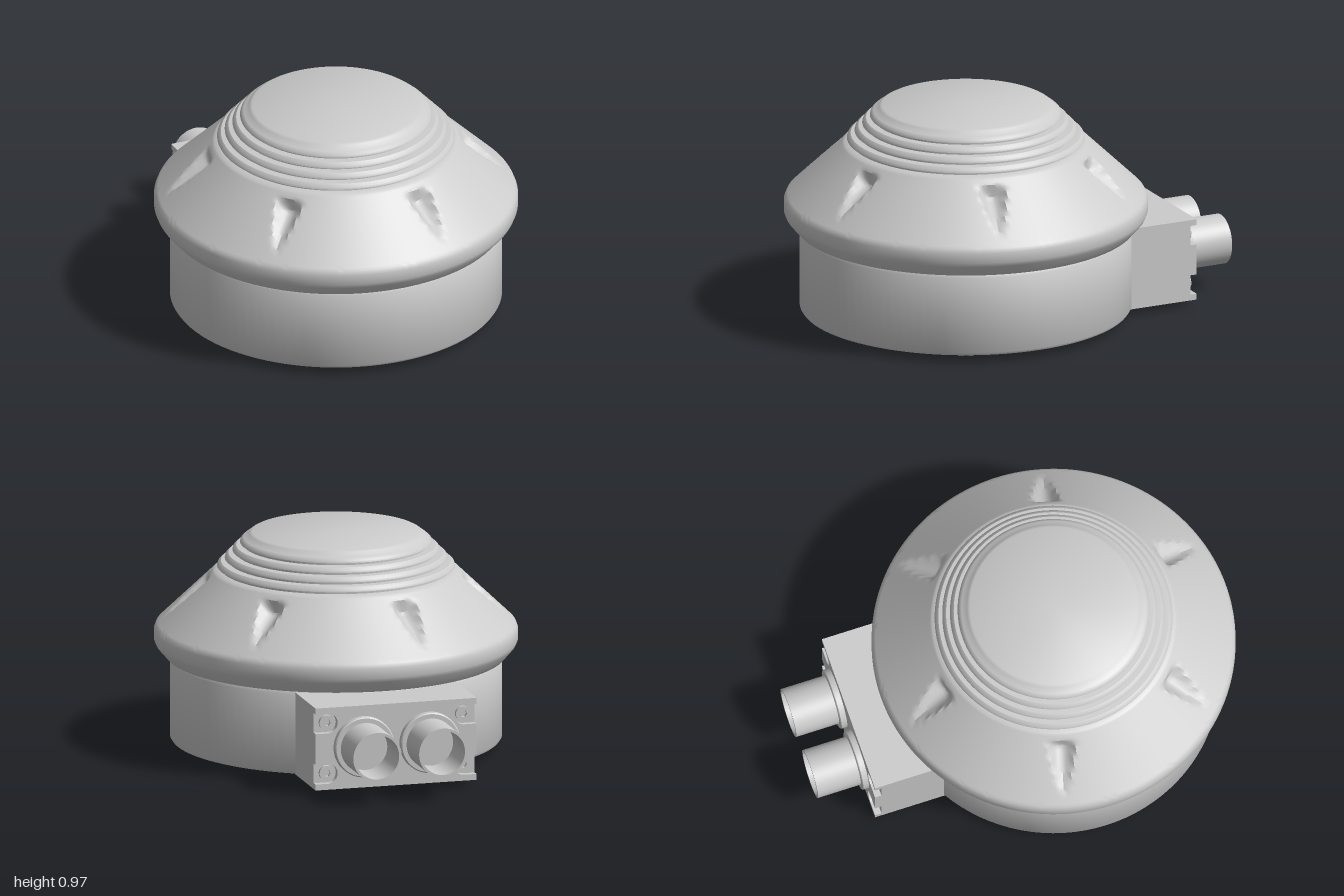
import * as THREE from 'three';
import { toCreasedNormals } from 'three/addons/utils/BufferGeometryUtils.js';

const TAU = Math.PI * 2;
const material = new THREE.MeshStandardMaterial({ color: 0xcccccc, side: THREE.DoubleSide });

function part(name, geometry, x = 0, y = 0, z = 0, crease = 0.6) {
  const mesh = new THREE.Mesh(toCreasedNormals(geometry, crease), material);
  mesh.name = name;
  mesh.position.set(x, y, z);
  return mesh;
}

const lathe = (points, segments) =>
  new THREE.LatheGeometry(points.map(([r, y]) => new THREE.Vector2(r, y)), segments);

function circle(r, x = 0, y = 0) {
  const shape = new THREE.Shape();
  shape.absarc(x, y, r, 0, TAU);
  return shape;
}

// n points spread evenly on a circle, starting at an angle in degrees
const around = (n, r, start) => Array.from({ length: n }, (_, i) => {
  const a = THREE.MathUtils.degToRad(start) + (i * TAU) / n;
  return [r * Math.cos(a), r * Math.sin(a)];
});

const extrude = (shape, depth, bevel = 0) => new THREE.ExtrudeGeometry(shape, {
  depth, curveSegments: shape.segments ?? 32, bevelEnabled: bevel > 0,
  bevelSize: bevel, bevelThickness: bevel, bevelOffset: -bevel, bevelSegments: 2,
});

// Horizontal slab whose shape lies in the x-z plane
function slab(name, shape, bottom, top, bevel = 0) {
  const geometry = extrude(shape, top - bottom - 2 * bevel, bevel).rotateX(Math.PI / 2);
  return part(name, geometry, 0, top - bevel, 0);
}

// Six-lobed outline of the bottom cover
function lobedOutline() {
  const points = [];
  for (let i = 0; i < 144; i++) {
    const a = (i / 144) * TAU;
    const wave = 0.5 + 0.5 * Math.cos(6 * (a - THREE.MathUtils.degToRad(50)));
    const r = 0.575 + 0.12 * THREE.MathUtils.smoothstep(wave, 0.35, 0.9);
    points.push(new THREE.Vector2(r * Math.cos(a), r * Math.sin(a)));
  }
  return points;
}

// Screw head with a hexagonal socket, axis along z
function screwGeometry(r) {
  const shape = circle(r);
  shape.holes.push(new THREE.Path(around(6, r * 0.5, 0).map(([x, y]) => new THREE.Vector2(x, y))));
  return extrude(shape, 0.03);
}

// Conical cap with ring grooves and six teardrop pockets
function capGeometry() {
  const profile = [[0, 0.41], [0.74, 0.41], [0.755, 0.413], [0.8, 0.465], [0.808, 0.485], [0.808, 0.53], [0.8, 0.55]];
  for (let i = 1; i <= 28; i++) {
    const t = i / 28;
    profile.push([0.8 - 0.26 * t, 0.55 + 0.25 * t]);
  }
  for (let i = 0; i < 4; i++) {
    const r = 0.535 - i * 0.034, y = 0.805 + i * 0.036;
    profile.push([r - 0.022, y], [r - 0.022, y + 0.01], [r - 0.007, y + 0.012], [r - 0.01, y + 0.022], [r - 0.024, y + 0.034]);
  }
  profile.push([0.398, 0.95], [0.385, 0.965], [0.372, 0.972], [0, 0.972]);
  const geometry = lathe(profile, 240);
  const pos = geometry.attributes.position;
  for (let i = 0; i < pos.count; i++) {
    const x = pos.getX(i), y = pos.getY(i), z = pos.getZ(i);
    const t = (y - 0.585) / 0.19;
    if (t <= 0 || t >= 1) continue;
    const r = Math.hypot(x, z), step = TAU / 6;
    let a = Math.atan2(z, x) - THREE.MathUtils.degToRad(15);
    a -= Math.round(a / step) * step;
    const across = (a * r) / (0.07 * Math.pow(t, 0.7));
    const depth = 0.06 * t * Math.max(0, 1 - across * across) * Math.min(1, (1 - t) * 6);
    const k = (r - depth * 0.7) / r;
    pos.setXYZ(i, x * k, y - depth * 0.7, z * k);
  }
  return geometry;
}

// Rear flange plate with four slots open to the sides
function flangeShape() {
  const w = 0.372, h = 0.187, cx = 0.315, cy = 0.115, r = 0.045;
  const s = new THREE.Shape();
  s.moveTo(-w, -h);
  s.lineTo(w, -h);
  for (const y of [-cy, cy]) {
    s.lineTo(w, y - r);
    s.lineTo(cx, y - r);
    s.absarc(cx, y, r, -Math.PI / 2, Math.PI / 2, true);
    s.lineTo(w, y + r);
  }
  s.lineTo(w, h);
  s.lineTo(-w, h);
  for (const y of [cy, -cy]) {
    s.lineTo(-w, y + r);
    s.lineTo(-cx, y + r);
    s.absarc(-cx, y, r, Math.PI / 2, -Math.PI / 2, true);
    s.lineTo(-w, y - r);
  }
  s.closePath();
  return s;
}

export function createModel() {
  const model = new THREE.Group();
  model.name = 'rotaryJoint';
  const body = new THREE.Group();
  body.name = 'body';
  body.position.z = 0.19;
  model.add(body);

  body.add(part('cap', capGeometry()));

  // Round housing
  body.add(part('housing', lathe([[0.715, 0.03], [0.73, 0.034], [0.738, 0.046], [0.738, 0.395], [0.728, 0.41], [0, 0.41]], 96)));
  body.add(part('housingFloor', new THREE.CylinderGeometry(0.72, 0.72, 0.04, 96), 0, 0.1, 0));

  // Underside rim with mounting holes around the lobed recess
  const rim = circle(0.718);
  rim.segments = 96;
  rim.holes.push(new THREE.Path(lobedOutline()));
  for (const [x, z] of around(6, 0.665, 20)) rim.holes.push(circle(0.032, x, z));
  body.add(slab('undersideRim', rim, 0.03, 0.085));

  // Recessed cover plate and its screws
  const cover = new THREE.Shape(lobedOutline());
  cover.holes.push(circle(0.32));
  body.add(slab('coverPlate', cover, 0.046, 0.085));
  for (const [x, z] of around(6, 0.632, 50)) {
    body.add(part('coverScrew', screwGeometry(0.042).rotateX(Math.PI / 2), x, 0.064, z));
    body.add(part('screwRim', new THREE.TorusGeometry(0.05, 0.006, 8, 24).rotateX(Math.PI / 2), x, 0.046, z));
  }

  // Output hub with a bolt pattern
  const hub = circle(0.355);
  hub.segments = 64;
  for (const [x, z] of around(4, 0.28, 45)) hub.holes.push(circle(0.028, x, z));
  for (const [x, z] of around(4, 0.19, 0)) hub.holes.push(circle(0.035, x, z));
  hub.holes.push(circle(0.018, ...around(1, 0.285, 66)[0]));
  body.add(slab('hub', hub, 0, 0.06, 0.008));

  // Connector block blended against the housing
  const block = new THREE.Shape();
  const a = Math.acos(0.372 / 0.73);
  block.moveTo(-0.372, -0.93);
  block.lineTo(0.372, -0.93);
  block.lineTo(0.372, -0.73 * Math.sin(a));
  block.absarc(0, 0, 0.73, -a, a - Math.PI, true);
  block.closePath();
  body.add(slab('connectorBlock', block, 0.031, 0.405));
  body.add(part('connectorFlange', extrude(flangeShape(), 0.03), 0, 0.218, -0.96));

  // Hollow cable sockets and the flange screws
  const socket = [[0.137, 0], [0.137, 0.026], [0.132, 0.03], [0.112, 0.03], [0.112, 0.23], [0.1, 0.23], [0.1, 0.04], [0, 0.04]];
  for (const side of [-1, 1]) {
    body.add(part('cableSocket', lathe(socket, 48).rotateX(-Math.PI / 2), side * 0.152, 0.22, -0.96));
    for (const dy of [-0.115, 0.115])
      body.add(part('flangeScrew', screwGeometry(0.034), side * 0.315, 0.218 + dy, -0.945));
  }
  return model;
}
